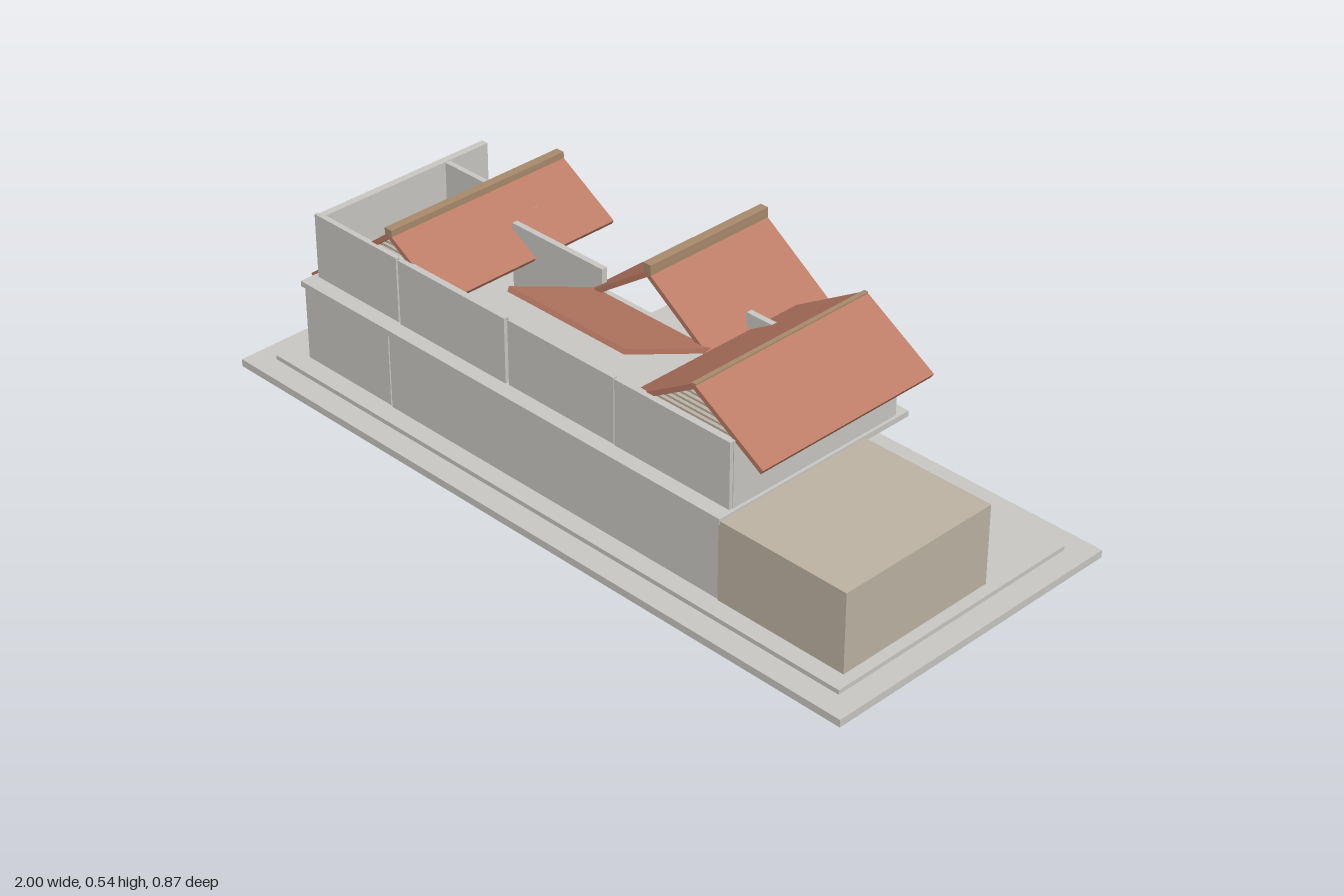
import * as THREE from 'three';

const mat = (name, color) => {
  const m = new THREE.MeshStandardMaterial({ color });
  m.name = name;
  return m;
};

export function createModel() {
  const house = new THREE.Group();
  house.name = 'house';
  const wall = mat('pale grey render', 0xcac9c5);
  const stone = mat('beige stone', 0xbfb4a5);
  const tile = mat('terracotta tile', 0xbb7b65);
  const timber = mat('tan timber', 0xa98b6c);
  const glass = mat('dark glass', 0x56554f);

  const add = (name, geo, m) => {
    const mesh = new THREE.Mesh(geo, m);
    mesh.name = name;
    house.add(mesh);
    return mesh;
  };
  // Box given by its limits on each axis
  const box = (name, m, x1, x2, y1, y2, z1, z2) => {
    const mesh = add(name, new THREE.BoxGeometry(x2 - x1, y2 - y1, z2 - z1), m);
    mesh.position.set((x1 + x2) / 2, (y1 + y2) / 2, (z1 + z2) / 2);
    return mesh;
  };
  // Sloping sheet whose top edge runs from a to b, extruded along z
  const sheet = (name, a, b, z1, z2, t = 0.013) => {
    const d = new THREE.Vector2(b[0] - a[0], b[1] - a[1]).normalize();
    const nx = d.y * t, ny = -d.x * t;
    const shape = new THREE.Shape([
      new THREE.Vector2(a[0], a[1]), new THREE.Vector2(b[0], b[1]),
      new THREE.Vector2(b[0] + nx, b[1] + ny), new THREE.Vector2(a[0] + nx, a[1] + ny)]);
    const geo = new THREE.ExtrudeGeometry(shape, { depth: z2 - z1, bevelEnabled: false });
    geo.translate(0, 0, z1);
    return add(name, geo, tile);
  };

  // Stepped base
  box('base', wall, -1, 1, 0, 0.02, -0.436, 0.436);
  box('plinth', wall, -0.94, 0.94, 0.02, 0.032, -0.375, 0.375);

  // Ground floor
  box('groundFloor', wall, -0.86, 0.53, 0.032, 0.236, -0.135, 0.315);
  box('groundFrontWall', wall, -0.875, -0.568, 0.032, 0.236, 0.31, 0.322);
  box('groundFrontWall', wall, -0.56, 0.535, 0.032, 0.236, 0.31, 0.325);
  box('groundEndWall', wall, -0.875, -0.855, 0.032, 0.225, -0.305, 0.322);
  box('garage', stone, 0.535, 0.91, 0.032, 0.245, -0.138, 0.328);

  // First floor slab, balcony and porch
  box('floorSlab', wall, -0.88, 0.54, 0.236, 0.251, -0.145, 0.33);
  box('terraceEdge', wall, -0.86, -0.17, 0.236, 0.251, -0.17, -0.14);
  box('balconySlab', wall, 0.16, 0.54, 0.236, 0.251, -0.285, -0.14);
  box('porchSlab', wall, -0.17, 0.17, 0.225, 0.256, -0.306, -0.14);
  box('porchBeam', wall, -0.17, 0.17, 0.215, 0.263, -0.341, -0.305);
  for (const x of [-0.15, 0.15]) {
    box('porchColumn', wall, x - 0.019, x + 0.019, 0.032, 0.22, -0.341, -0.305);
    box('porchLamp', timber, x - 0.008, x + 0.008, 0.148, 0.167, -0.348, -0.341);
  }

  // Windows and door on the back
  const zb = -0.135;
  const window = (x1, x2, y1, y2, z, bars, frame) => {
    box('windowGlass', glass, x1, x2, y1, y2, z - 0.003, z);
    for (let i = 0; i <= bars; i++) {
      const x = x1 + (x2 - x1) * i / bars;
      box('windowMullion', frame, x - 0.003, x + 0.003, y1, y2, z - 0.007, z);
    }
    for (const y of [y1, y2]) box('windowRail', frame, x1, x2, y - 0.003, y + 0.003, z - 0.007, z);
  };
  window(0.59, 0.85, 0.06, 0.165, -0.138, 4, stone);
  window(0.3, 0.5, 0.05, 0.14, zb, 1, wall);
  window(0.1, 0.17, 0.1, 0.16, zb, 2, wall);
  window(-0.545, -0.18, 0.05, 0.13, zb, 1, wall);
  box('door', timber, 0, 0.06, 0.032, 0.14, zb - 0.006, zb);
  box('bayWindow', wall, -0.855, -0.6, 0.047, 0.137, -0.197, -0.13);
  box('bayGlass', glass, -0.85, -0.605, 0.05, 0.134, -0.2, -0.197);

  // First floor walls
  const fronts = [[-0.865, -0.567, 0.287], [-0.557, -0.188, 0.29], [-0.178, 0.168, 0.288], [0.173, 0.53, 0.29]];
  for (const [x1, x2, z] of fronts) box('upperFrontWall', wall, x1, x2, 0.25, 0.426, 0.276, z);
  box('upperFrontBacking', wall, -0.85, 0.52, 0.25, 0.424, 0.27, 0.28);
  box('upperLeftEndWall', wall, -0.86, -0.84, 0.25, 0.426, -0.25, 0.28);
  box('upperRightEndWall', wall, 0.515, 0.532, 0.25, 0.426, -0.25, 0.28);
  box('partition', wall, -0.5, -0.19, 0.25, 0.426, -0.038, -0.022);
  box('partition', wall, -0.84, -0.52, 0.25, 0.424, -0.125, -0.11);
  box('partition', wall, 0.18, 0.52, 0.25, 0.426, -0.14, -0.124);
  box('terraceDoorSill', timber, -0.48, -0.2, 0.251, 0.262, -0.044, -0.038);

  // Gabled roofs: eave, ridge and eave heights, louvred gables, ridge cap
  const roof = (name, l, r, e, z1, z2, cap, gables) => {
    sheet(name + 'Slope', l, r, z1, z2);
    sheet(name + 'Slope', r, e, z1, z2);
    if (cap) box(name + 'RidgeCap', timber, r[0] - 0.012, r[0] + 0.012, r[1] - 0.008, r[1] + cap, z1, z2);
    const slopeL = (r[1] - l[1]) / (r[0] - l[0]), slopeR = (r[1] - e[1]) / (e[0] - r[0]);
    for (const z of gables) {
      for (let drop = 0.03; drop < 0.1; drop += 0.014) {
        const y = r[1] - drop, w = drop - 0.016;
        box(name + 'GableSlat', stone, r[0] - w / slopeL, r[0] + w / slopeR, y - 0.003, y + 0.003, z - 0.004, z + 0.004);
      }
    }
  };
  roof('leftRoof', [-0.908, 0.238], [-0.605, 0.475], [-0.418, 0.362], -0.28, 0.275, 0.01, [-0.24, 0.25]);
  roof('centreRoof', [-0.235, 0.355], [0, 0.518], [0.235, 0.355], -0.368, 0.018, 0.019, [-0.32]);
  roof('rightRoof', [0.193, 0.386], [0.404, 0.513], [0.614, 0.386], -0.278, 0.275, 0, [-0.24, 0.25]);
  box('rightRoofRidgeStrip', timber, 0.398, 0.41, 0.505, 0.5135, -0.278, 0.275);

  // Tilted roof sheet rising toward the front
  sheet('frontRoof', [-0.27, 0.503], [-0.005, 0.39], -0.19, 0.19).rotation.y = Math.PI / 2;

  return house;
}
